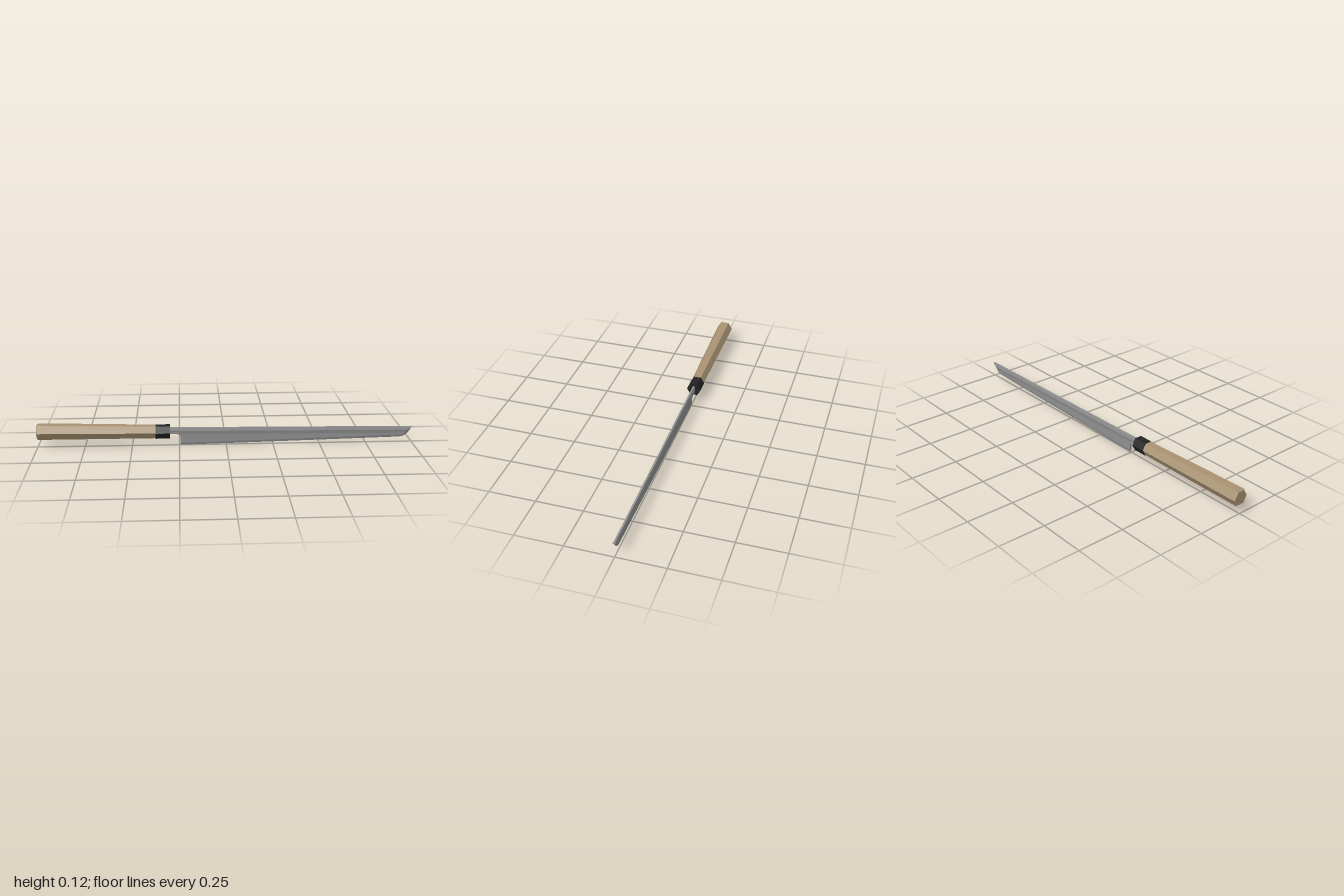
import * as THREE from 'three';

// Joins equal-length loops of [x, y, z] points, running along +x, into a closed faceted solid
function loft(rings) {
  const pos = [];
  const tri = (a, b, c) => pos.push(...a, ...b, ...c);
  const n = rings[0].length;
  for (let i = 0; i < rings.length - 1; i++) {
    for (let j = 0; j < n; j++) {
      const k = (j + 1) % n;
      const a = rings[i][j], b = rings[i][k], c = rings[i + 1][k], d = rings[i + 1][j];
      tri(a, b, c);
      tri(a, c, d);
    }
  }
  const centre = ring => [0, 1, 2].map(k => ring.reduce((s, p) => s + p[k], 0) / n);
  const first = rings[0], last = rings[rings.length - 1];
  const c0 = centre(first), c1 = centre(last);
  for (let j = 0; j < n; j++) {
    const k = (j + 1) % n;
    tri(c0, first[k], first[j]);
    tri(c1, last[j], last[k]);
  }
  const g = new THREE.BufferGeometry();
  g.setAttribute('position', new THREE.Float32BufferAttribute(pos, 3));
  g.computeVertexNormals();
  return g;
}

// Hexagon with flat top and bottom
function hexRing([x, y, r]) {
  return Array.from({ length: 6 }, (_, i) => {
    const a = Math.PI / 3 * (1 - i);
    return [x, y + r * Math.sin(a), r * Math.cos(a)];
  });
}

// Blade section: narrow spine, thick ridge, thin flat and ground edge
function bladeRing([x, bottom, edge]) {
  const top = 0.098 - 0.01 * (x + 0.3);
  const h = top - bottom;
  const bevel = Math.min(0.012, h * 0.25);
  const side = [
    [0, 0.0045],
    [Math.min(0.018, h * 0.4), 0.008],
    [Math.min(0.036, h * 0.7), Math.max(0.0045, edge)],
    [h - bevel, Math.max(0.0042, edge)],
    [h, edge],
  ].map(([d, w]) => [x, top - d, w]);
  return [...side, ...side.slice().reverse().map(([a, b, c]) => [a, b, -c])];
}

export function createModel() {
  const group = new THREE.Group();
  const wood = new THREE.MeshStandardMaterial({ name: 'wood', color: 0xa89272 });
  const black = new THREE.MeshStandardMaterial({ name: 'black horn', color: 0x222222 });
  const steel = new THREE.MeshStandardMaterial({ name: 'steel', color: 0x909090 });

  const add = (name, rings, material) => {
    const mesh = new THREE.Mesh(loft(rings), material);
    mesh.name = name;
    group.add(mesh);
  };

  // Tapered handle with a chamfered butt: x, centre height, radius
  add('handle', [[-1, 0.086, 0.04], [-0.993, 0.086, 0.045], [-0.374, 0.077, 0.037]].map(hexRing), wood);

  // Collar between handle and blade
  add('ferrule', [[-0.376, 0.076, 0.039], [-0.299, 0.076, 0.039]].map(hexRing), black);

  // Neck, heel step, long edge and curved tip: x, lower height, half width of the edge
  add('blade', [
    [-0.31, 0.062, 0.006], [-0.265, 0.062, 0.006], [-0.252, 0.058, 0.006], [-0.245, 0.048, 0.005],
    [-0.245, 0, 0.0005], [0.3, 0.012, 0.0005], [0.93, 0.027, 0.0005], [0.955, 0.031, 0.0005],
    [0.972, 0.043, 0.0005], [0.986, 0.06, 0.0005], [1, 0.082, 0.0005],
  ].map(bladeRing), steel);

  return group;
}
